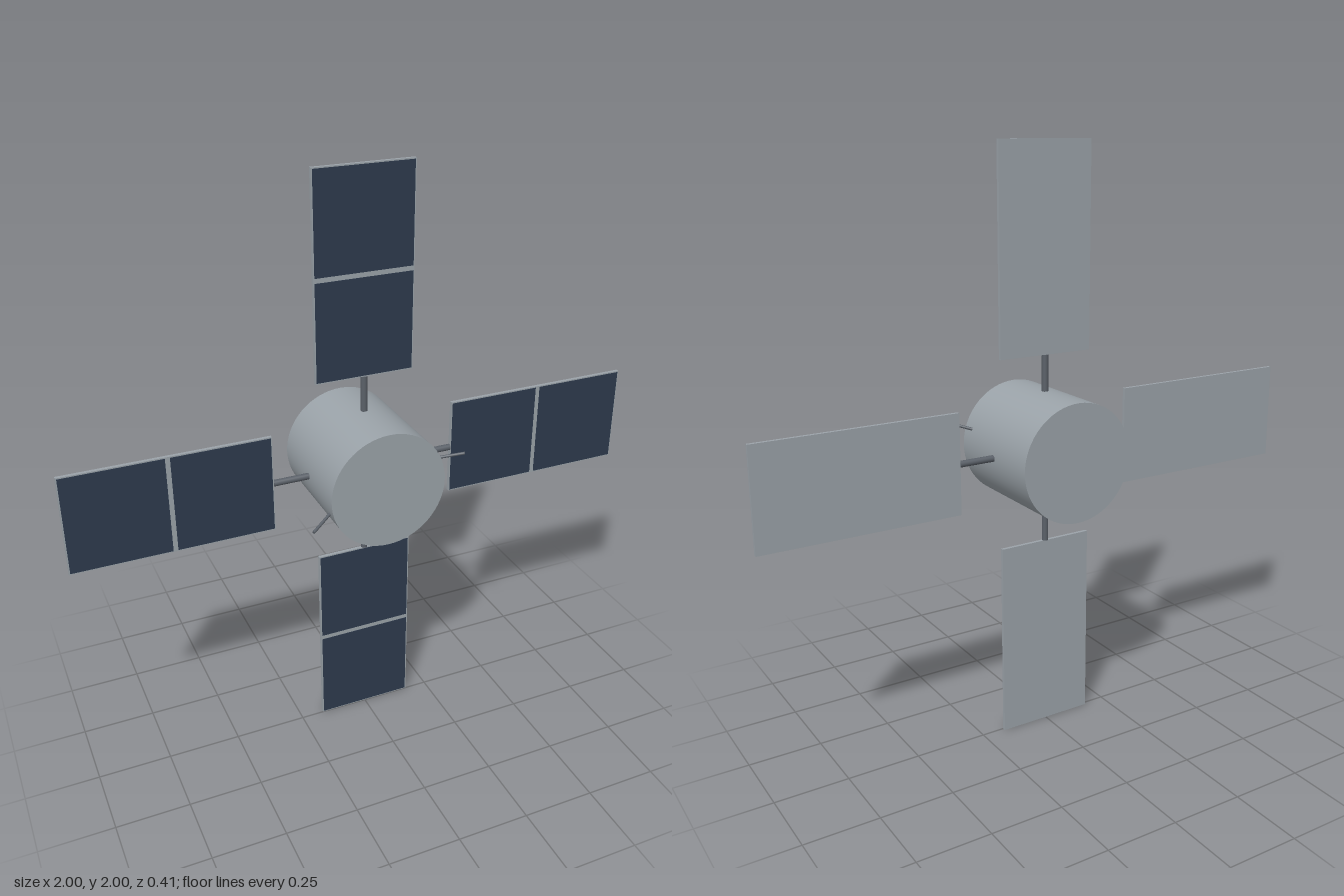
import * as THREE from 'three';

const silver = new THREE.MeshStandardMaterial({ name: 'silver', color: 0x9aa2a8 });
const cellBlue = new THREE.MeshStandardMaterial({ name: 'cell blue', color: 0x2d3a4d });
const darkMetal = new THREE.MeshStandardMaterial({ name: 'dark metal', color: 0x5a6068 });

const AXIS_Z = -0.006; // depth of the body centre and the panels

function addMesh(parent, name, geometry, material, x = 0, y = 0, z = 0) {
  const mesh = new THREE.Mesh(geometry, material);
  mesh.name = name;
  mesh.position.set(x, y, z);
  parent.add(mesh);
  return mesh;
}

// Round rod between two points
function addRod(parent, name, from, to, radius) {
  const dir = to.clone().sub(from);
  const rod = addMesh(parent, name, new THREE.CylinderGeometry(radius, radius, dir.length(), 16), darkMetal);
  rod.position.copy(from).addScaledVector(dir, 0.5);
  rod.quaternion.setFromUnitVectors(new THREE.Vector3(0, 1, 0), dir.normalize());
}

// One solar wing pointing along +x: strut, framed panel and two cell fields
function createWing() {
  const wing = new THREE.Group();
  wing.name = 'solarWing';
  addRod(wing, 'strut', new THREE.Vector3(0.15, 0, 0), new THREE.Vector3(0.322, 0, 0), 0.011);
  addMesh(wing, 'panelFrame', new THREE.BoxGeometry(0.678, 0.34, 0.012), silver, 0.661);
  for (const side of [-1, 1]) {
    addMesh(wing, 'solarCells', new THREE.BoxGeometry(0.327, 0.332, 0.002), cellBlue, 0.661 + side * 0.1715, 0, 0.0063);
  }
  return wing;
}

export function createModel() {
  const model = new THREE.Group();
  model.name = 'satellite';

  const hub = new THREE.Group();
  hub.name = 'hub';
  hub.position.set(0, 1, AXIS_Z);
  model.add(hub);

  // Drum body lying along z
  const body = addMesh(hub, 'body', new THREE.CylinderGeometry(0.2, 0.2, 0.4, 64), silver);
  body.rotation.x = Math.PI / 2;

  // Four wings in a cross
  for (let i = 0; i < 4; i++) {
    const wing = createWing();
    wing.rotation.z = i * Math.PI / 2;
    hub.add(wing);
  }

  // Two antennas, opposite each other and leaning forward
  for (const s of [-1, 1]) {
    addRod(hub, 'antenna',
      new THREE.Vector3(s * 0.165, s * 0.053, 0.143),
      new THREE.Vector3(s * 0.266, s * 0.085, 0.208), 0.005);
  }
  return model;
}
